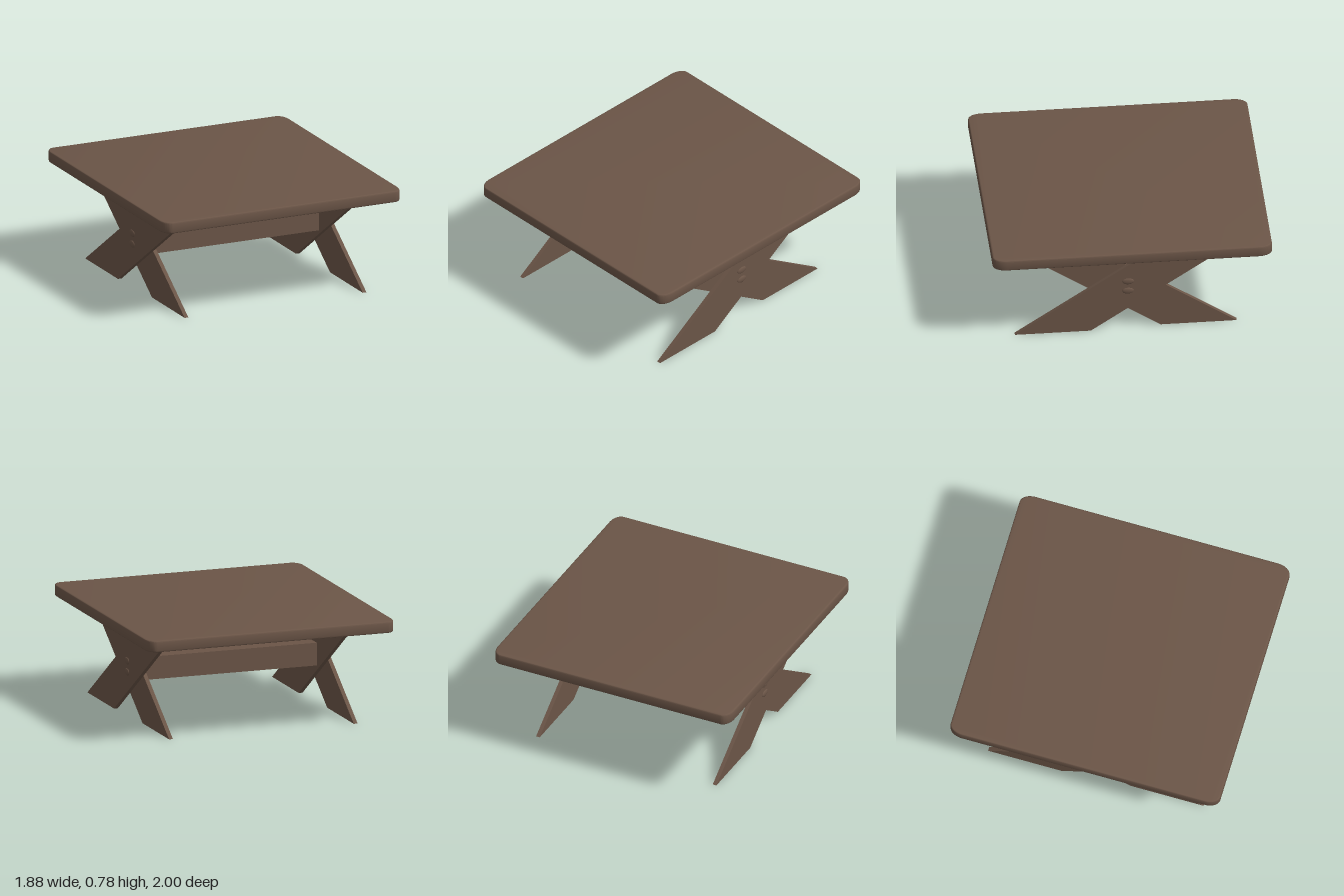
import * as THREE from 'three';
import { toCreasedNormals } from 'three/addons/utils/BufferGeometryUtils.js';

export function createModel() {
  const wood = new THREE.MeshStandardMaterial({ color: 0x6b5547 });
  wood.name = 'brown wood';
  const table = new THREE.Group();
  table.name = 'table';

  function add(parent, geometry, name, x = 0, y = 0, z = 0) {
    const mesh = new THREE.Mesh(geometry, wood);
    mesh.name = name;
    mesh.position.set(x, y, z);
    parent.add(mesh);
    return mesh;
  }

  // Table top: rounded corners and a softly eased edge
  const bevel = 0.01, w = 0.934 - bevel, d = 0.993 - bevel, rx = 0.055, rz = 0.09;
  const outline = new THREE.Shape();
  outline.absellipse(w - rx, d - rz, rx, rz, 0, Math.PI / 2);
  outline.absellipse(-w + rx, d - rz, rx, rz, Math.PI / 2, Math.PI);
  outline.absellipse(-w + rx, -d + rz, rx, rz, Math.PI, Math.PI * 1.5);
  outline.absellipse(w - rx, -d + rz, rx, rz, Math.PI * 1.5, Math.PI * 2);
  outline.closePath();
  const topGeometry = new THREE.ExtrudeGeometry(outline, {
    depth: 0.082 - 2 * bevel, bevelSize: bevel, bevelThickness: bevel, bevelSegments: 3, curveSegments: 8,
  });
  topGeometry.rotateX(-Math.PI / 2);
  add(table, toCreasedNormals(topGeometry, 0.6), 'tableTop', 0, 0.695 + bevel, 0);

  // Crossed leg boards: slanted parallelograms cut level at floor and top
  const thick = 0.029, centreZ = 0.03;
  function legBoard(dir) {
    const corners = [[-0.79, 0], [-0.25, 0], [0.79, 0.697], [0.25, 0.697]];
    const shape = new THREE.Shape(corners.map(([u, y]) => new THREE.Vector2(u * dir, y)));
    const geometry = new THREE.ExtrudeGeometry(shape, { depth: thick, bevelEnabled: false });
    return geometry.rotateY(Math.PI / 2);
  }

  for (const side of [-1, 1]) {
    const trestle = new THREE.Group();
    trestle.name = side > 0 ? 'leftTrestle' : 'rightTrestle';
    trestle.position.set(side * 0.697, 0, centreZ);
    add(trestle, legBoard(1), 'frontFootBoard', 0, 0, 0);
    add(trestle, legBoard(-1), 'backFootBoard', -thick, 0, 0);

    // Low domed pegs on the outer face
    for (const y of [0.325, 0.405]) {
      const peg = add(trestle, new THREE.SphereGeometry(1, 16, 10), 'peg', side * thick, y, -0.015);
      peg.scale.set(0.009, 0.025, 0.042);
    }
    table.add(trestle);
  }

  // Stretcher beam joining the two trestles
  add(table, new THREE.BoxGeometry(1.35, 0.165, 0.245), 'stretcher', 0, 0.3625, centreZ + 0.005);

  // The whole table sits very slightly turned
  table.rotation.y = -0.007;
  const model = new THREE.Group();
  model.name = 'crossLegTable';
  model.add(table);
  return model;
}
